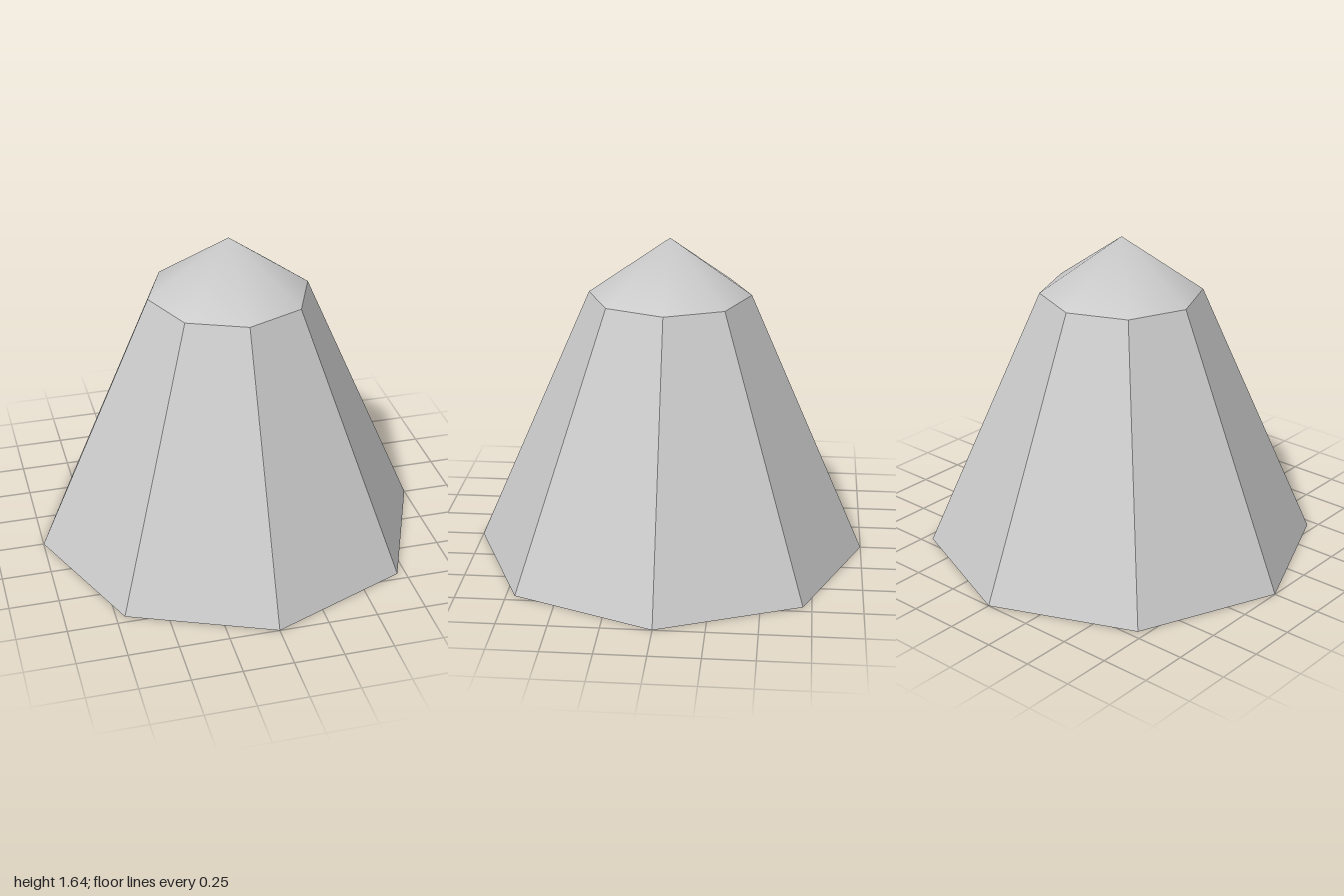
import * as THREE from 'three';
import { mergeVertices } from 'three/addons/utils/BufferGeometryUtils.js';

const SIDES = 8;
const BASE_RADIUS = 1;
const TOP_RADIUS = 0.41;
const WALL_HEIGHT = 1.36;
const CAP_HEIGHT = 0.285;
const HOLLOW_HEIGHT = 1.5;

// Open cone with one shared apex and smooth normals; inward turns its faces to the inside.
function smoothCone(radius, height, y, inward = false) {
  const cone = new THREE.ConeGeometry(radius, height, SIDES, 1, true);
  cone.translate(0, y + height / 2, 0);
  if (inward) cone.scale(1, 1, -1); // mirroring reverses the corner order
  cone.deleteAttribute('normal');
  cone.deleteAttribute('uv');
  const merged = mergeVertices(cone, 1e-4);
  merged.computeVertexNormals();
  return merged;
}

export function createModel() {
  const model = new THREE.Group();
  model.name = 'taperedOctagon';
  const smooth = new THREE.MeshStandardMaterial({ color: 0xcccccc });
  const faceted = new THREE.MeshStandardMaterial({ color: 0xcccccc, flatShading: true });

  function add(name, geometry, material) {
    const mesh = new THREE.Mesh(geometry, material);
    mesh.name = name;
    model.add(mesh);
  }

  // Eight flat sloping walls, corners on the x and z axes
  const walls = new THREE.CylinderGeometry(TOP_RADIUS, BASE_RADIUS, WALL_HEIGHT, SIDES, 1, true);
  walls.translate(0, WALL_HEIGHT / 2, 0);
  add('walls', walls, faceted);

  // Pointed cap
  add('cap', smoothCone(TOP_RADIUS, CAP_HEIGHT, WALL_HEIGHT), smooth);

  // Deep conical hollow, open at the base
  add('hollow', smoothCone(BASE_RADIUS, HOLLOW_HEIGHT, 0, true), smooth);

  return model;
}
